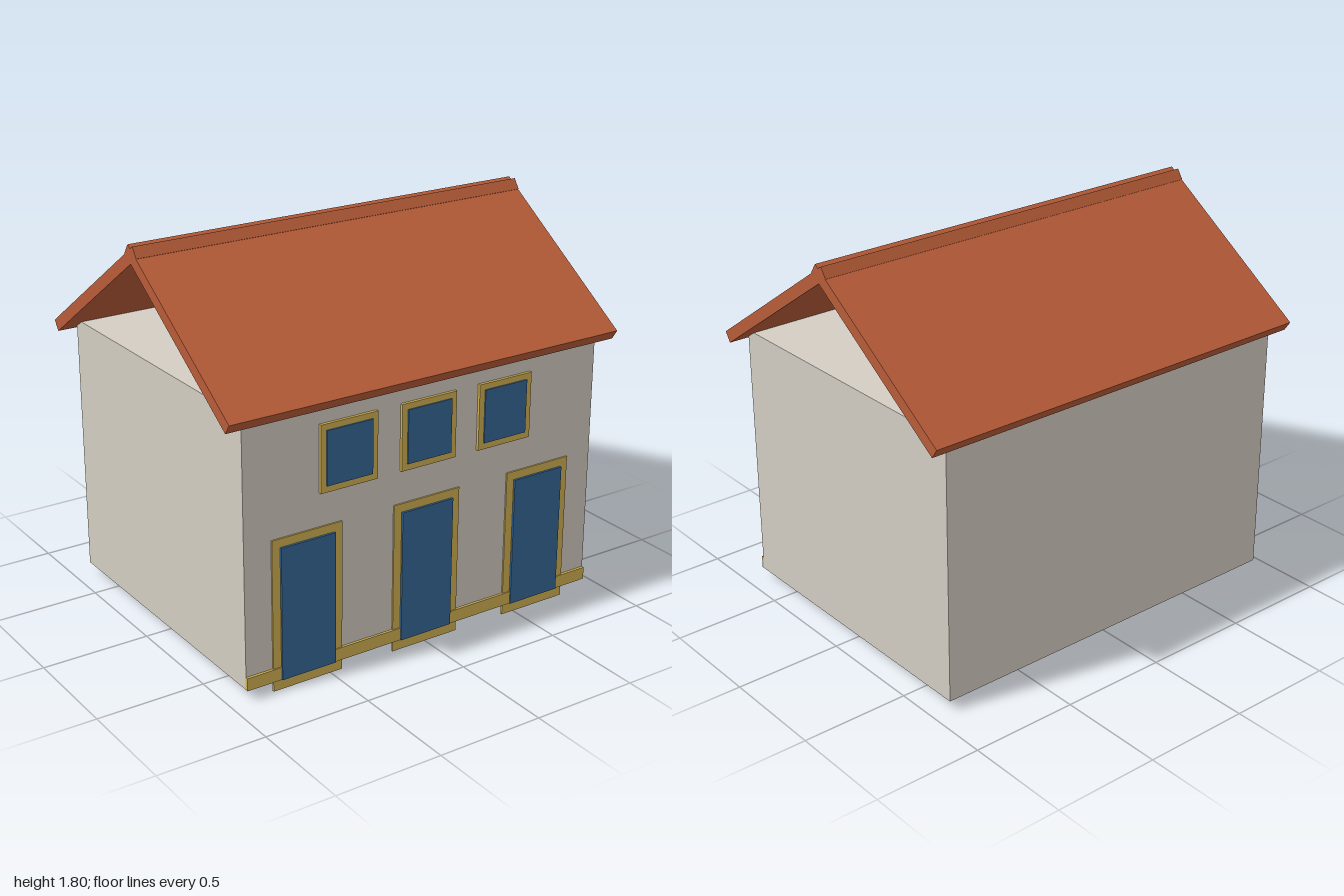
import * as THREE from 'three';

const material = (name, color) => {
  const m = new THREE.MeshStandardMaterial({ color });
  m.name = name;
  return m;
};

export function createModel() {
  const wall = material('wall plaster', 0xd3cdc2);
  const tile = material('roof terracotta', 0xb85c38);
  const trim = material('trim ochre', 0xd1b052);
  const glass = material('opening blue', 0x356898);

  const house = new THREE.Group();
  house.name = 'house';

  // Box given by its minimum and maximum on each axis
  const block = (name, mat, [x0, x1], [y0, y1], [z0, z1], parent = house) => {
    const mesh = new THREE.Mesh(new THREE.BoxGeometry(x1 - x0, y1 - y0, z1 - z0), mat);
    mesh.position.set((x0 + x1) / 2, (y0 + y1) / 2, (z0 + z1) / 2);
    mesh.name = name;
    parent.add(mesh);
    return mesh;
  };

  // Walls, closed flat under the open loft
  const front = 0.713;
  block('walls', wall, [-0.916, 0.916], [0.047, 1.267], [-front, front]);

  // Two roof slabs that cross at the ridge
  for (const side of [1, -1]) {
    const slab = new THREE.Mesh(new THREE.BoxGeometry(2, 0.054, 0.95), tile);
    slab.position.set(0, 1.511, side * 0.357);
    slab.rotation.x = side * 0.598;
    slab.name = side > 0 ? 'frontRoofSlab' : 'backRoofSlab';
    house.add(slab);
  }

  // Band along the foot of the front wall
  block('plinthBand', trim, [-0.916, 0.916], [0.047, 0.106], [front - 0.004, 0.725]);

  // Doors with surrounds reaching down to the ground
  for (const x of [-0.613, -0.002, 0.609]) {
    const door = new THREE.Group();
    door.name = 'door';
    house.add(door);
    block('doorSurround', trim, [x - 0.173, x + 0.173], [0, 0.698], [front - 0.004, 0.72], door);
    block('doorLeaf', glass, [x - 0.134, x + 0.134], [0.047, 0.659], [0.719, 0.73], door);
  }

  // Upper windows
  for (const x of [-0.409, -0.002, 0.405]) {
    const win = new THREE.Group();
    win.name = 'window';
    house.add(win);
    block('windowFrame', trim, [x - 0.142, x + 0.142], [0.85, 1.154], [front - 0.004, 0.727], win);
    block('windowPane', glass, [x - 0.114, x + 0.114], [0.88, 1.126], [0.726, 0.733], win);
  }

  return house;
}
